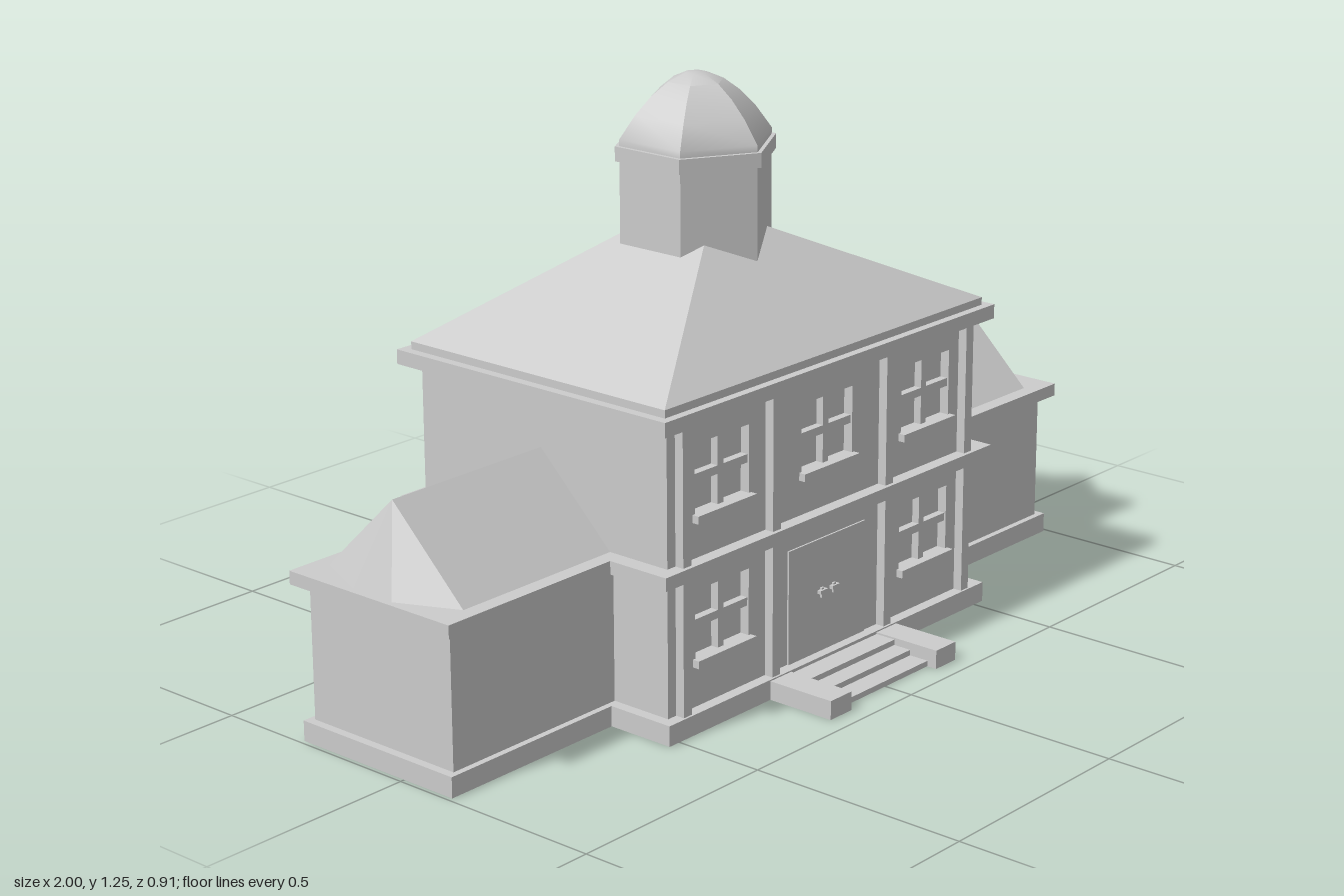
import * as THREE from 'three';
import { toCreasedNormals } from 'three/addons/utils/BufferGeometryUtils.js';
import { ConvexGeometry } from 'three/addons/geometries/ConvexGeometry.js';

const material = new THREE.MeshStandardMaterial({ color: 0xcccccc });
const flat = new THREE.MeshStandardMaterial({ color: 0xcccccc, flatShading: true });
const thin = new THREE.MeshStandardMaterial({ color: 0xcccccc, side: THREE.DoubleSide });
const AXIS = -0.078; // z of the wings' ridge line

function add(parent, name, geometry, mat = material) {
  const mesh = new THREE.Mesh(geometry, mat);
  mesh.name = name;
  parent.add(mesh);
  return mesh;
}

// Box given by its limits on each axis
function block(parent, name, [x0, x1], [y0, y1], [z0, z1]) {
  const mesh = add(parent, name, new THREE.BoxGeometry(x1 - x0, y1 - y0, z1 - z0));
  mesh.position.set((x0 + x1) / 2, (y0 + y1) / 2, (z0 + z1) / 2);
}

function rectangle(Type, x0, x1, y0, y1) {
  return new Type([[x0, y0], [x1, y0], [x1, y1], [x0, y1]].map(p => new THREE.Vector2(...p)));
}

// Ground outline [x, z] of the main block with both wings, counter-clockwise from above
function houseOutline(mainX, back, front, wingX, wingHalf) {
  const f = AXIS + wingHalf, b = AXIS - wingHalf;
  const half = [[mainX, front], [mainX, f], [wingX, f], [wingX, b], [mainX, b], [mainX, back]];
  return [...half, ...half.map(([x, z]) => [-x, z]).reverse()];
}

const outlineShape = outline => new THREE.Shape(outline.map(([x, z]) => new THREE.Vector2(x, -z)));

// Walls and top over an outline, open underneath
function shell(parent, name, outline, height) {
  const g = new THREE.Group();
  g.name = name;
  parent.add(g);
  const top = new THREE.ShapeGeometry(outlineShape(outline)).rotateX(-Math.PI / 2);
  add(g, 'top', top, thin).position.y = height;
  const corners = [];
  outline.forEach(([x, z], i) => {
    const [u, w] = outline[(i + 1) % outline.length];
    corners.push(x, 0, z, u, 0, w, u, height, w, x, 0, z, u, height, w, x, height, z);
  });
  const walls = new THREE.BufferGeometry();
  walls.setAttribute('position', new THREE.Float32BufferAttribute(corners, 3));
  walls.computeVertexNormals();
  add(g, 'sides', walls, thin);
}

// Window centres on the front: two below, three above
const windows = [[-0.337, 0.225], [0.337, 0.225], [-0.337, 0.538], [0, 0.538], [0.337, 0.538]];
const WW = 0.084, WH = 0.074; // half width and half height

function mainBlock(house) {
  const g = new THREE.Group();
  g.name = 'mainBlock';
  house.add(g);
  block(g, 'mainWalls', [-0.505, 0.505], [0.045, 0.67], [-0.42, 0.245]);

  // Front wall with window openings
  const wall = rectangle(THREE.Shape, -0.505, 0.505, 0.045, 0.67);
  for (const [x, y] of windows) {
    wall.holes.push(rectangle(THREE.Path, x - WW, x + WW, y - WH, y + WH));
  }
  add(g, 'frontWall', new THREE.ExtrudeGeometry(wall, { depth: 0.022, bevelEnabled: false }))
    .position.z = 0.245;

  // Glazing bars and sills
  for (const [x, y] of windows) {
    const w = new THREE.Group();
    w.name = 'window';
    w.position.set(x, y, 0);
    g.add(w);
    block(w, 'mullion', [-0.009, 0.009], [-WH, WH], [0.244, 0.263]);
    block(w, 'transom', [-WW, WW], [-0.009, 0.009], [0.244, 0.263]);
    block(w, 'sill', [-WW - 0.007, WW + 0.007], [-WH - 0.017, -WH], [0.245, 0.283]);
  }

  // Pilasters on front and back
  for (const x of [-0.468, -0.188, 0.188, 0.468]) {
    const xs = [x - 0.0125, x + 0.0125];
    block(g, 'frontPilaster', xs, [0.045, 0.67], [0.26, 0.288]);
    block(g, 'backPilaster', xs, [0.045, 0.67], [-0.432, -0.415]);
  }

  // Cornice and hipped roof on a thin eave
  block(g, 'upperCornice', [-0.543, 0.543], [0.662, 0.694], [-0.455, 0.297]);
  block(g, 'eave', [-0.522, 0.522], [0.69, 0.711], [-0.433, 0.278]);
  const roof = [new THREE.Vector3(0, 0.961, -0.048), new THREE.Vector3(0, 0.961, -0.136)];
  for (const x of [-0.522, 0.522]) {
    roof.push(new THREE.Vector3(x, 0.711, 0.278), new THREE.Vector3(x, 0.711, -0.433));
  }
  add(g, 'mainRoof', new ConvexGeometry(roof), flat);
}

function entrance(house) {
  const g = new THREE.Group();
  g.name = 'entrance';
  house.add(g);
  block(g, 'door', [-0.128, 0.128], [0.045, 0.3], [0.26, 0.271]);
  for (const s of [-1, 1]) {
    const x = s * 0.02;
    block(g, 'doorHandle', [x - 0.012, x + 0.012], [0.178, 0.186], [0.27, 0.28]);
    block(g, 'handlePlate', [x - 0.004, x + 0.004], [0.168, 0.19], [0.27, 0.276]);
    const a = s * 0.179 - 0.034, b = s * 0.179 + 0.034;
    shell(g, 'stairCheek', [[a, 0.455], [b, 0.455], [b, 0.293], [a, 0.293]], 0.042);
  }
  // Steps, each lower and further out
  [0.293, 0.342, 0.385].forEach((z, i) => {
    const y = 0.038 - i * 0.0125;
    block(g, 'step', [-0.147, 0.147], [y - 0.0125, y], [z, [0.342, 0.385, 0.432][i]]);
  });
}

// Side wing, built towards +x around its own ridge line
function wing() {
  const g = new THREE.Group();
  block(g, 'wingWalls', [0.45, 0.971], [0.045, 0.35], [-0.198, 0.198]);
  // Ridge roof with a faceted end
  const points = [new THREE.Vector3(0.46, 0.552, 0), new THREE.Vector3(0.925, 0.552, 0)];
  for (const s of [-1, 1]) {
    for (const [x, z] of [[0.46, 0.192], [0.925, 0.192], [0.987, 0.055]]) {
      points.push(new THREE.Vector3(x, 0.367, s * z));
    }
  }
  add(g, 'wingRoof', new ConvexGeometry(points), flat);
  g.position.z = AXIS;
  return g;
}

function cupola(house) {
  const g = new THREE.Group();
  g.name = 'cupola';
  g.position.z = -0.095;
  house.add(g);
  add(g, 'drum', new THREE.CylinderGeometry(0.17, 0.17, 0.28, 6), flat).position.y = 0.935;
  add(g, 'cupolaRing', new THREE.CylinderGeometry(0.18, 0.18, 0.032, 6), flat).position.y = 1.086;
  // Six-sided dome, smooth up each side
  const profile = [[0.17, 1.1], [0.17, 1.116], [0.134, 1.166], [0.099, 1.203], [0.062, 1.231],
    [0.024, 1.248], [0, 1.249]].map(p => new THREE.Vector2(...p));
  add(g, 'dome', toCreasedNormals(new THREE.LatheGeometry(profile, 6), 0.6));
}

export function createModel() {
  const house = new THREE.Group();
  house.name = 'house';
  // Hollow base and the cornice running round the whole house
  shell(house, 'plinth', houseOutline(0.53, -0.44, 0.293, 0.99, 0.212), 0.045);
  const band = outlineShape(houseOutline(0.543, -0.455, 0.297, 1, 0.225));
  add(house, 'middleCornice', new THREE.ExtrudeGeometry(band, { depth: 0.029, bevelEnabled: false })
    .rotateX(-Math.PI / 2)).position.y = 0.34;

  mainBlock(house);
  entrance(house);
  const left = wing();
  left.name = 'leftWing';
  const right = wing();
  right.name = 'rightWing';
  right.rotation.y = Math.PI;
  house.add(left, right);
  cupola(house);
  return house;
}
